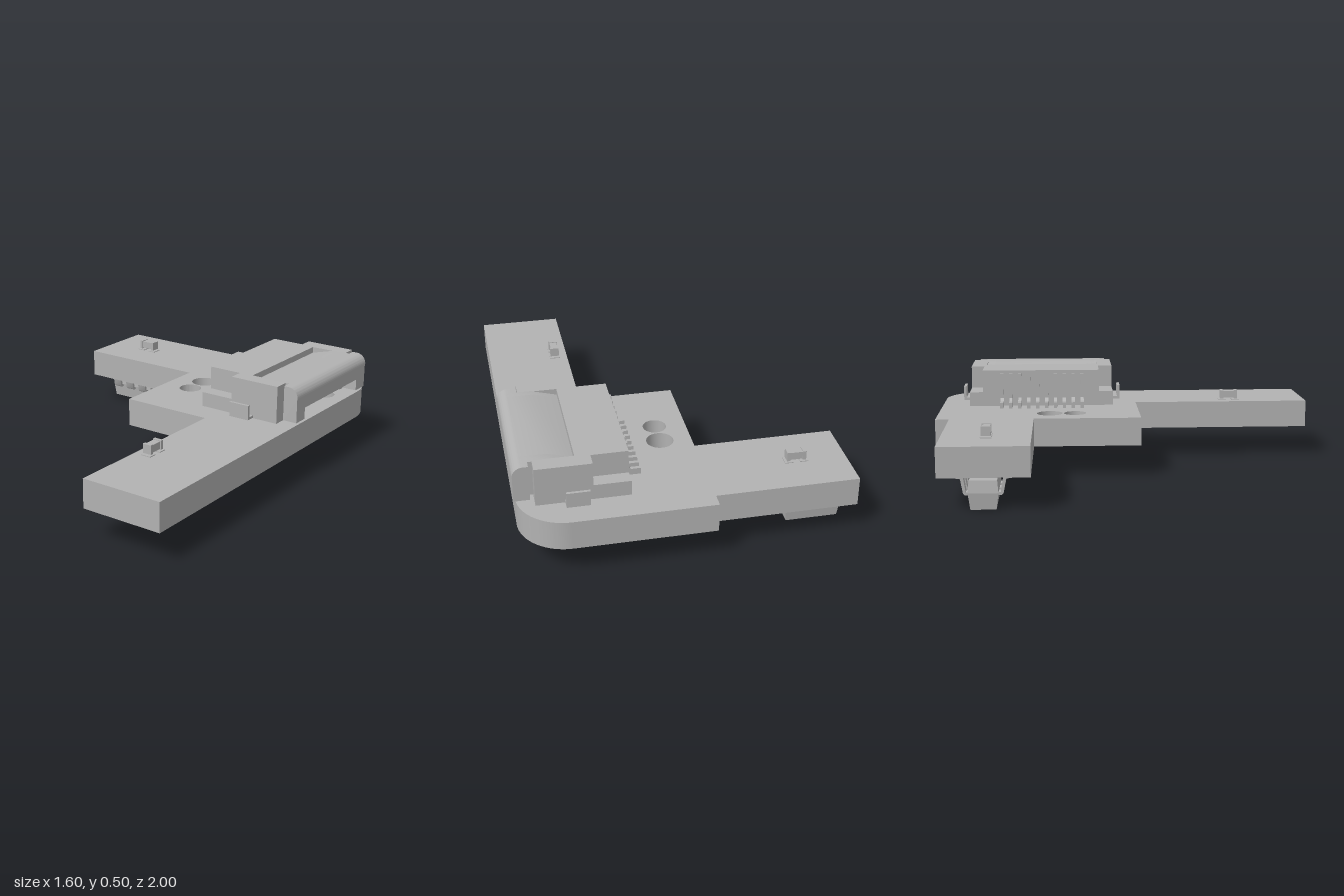
import * as THREE from 'three';
import { toCreasedNormals } from 'three/addons/utils/BufferGeometryUtils.js';

const grey = new THREE.MeshStandardMaterial({ color: 0xb2b2b2 });
grey.name = 'plain grey';

function add(parent, name, geometry) {
  const mesh = new THREE.Mesh(geometry, grey);
  mesh.name = name;
  parent.add(mesh);
  return mesh;
}

// Box given by its limits on each axis
function box(parent, name, x0, x1, y0, y1, z0, z1) {
  const g = new THREE.BoxGeometry(x1 - x0, y1 - y0, z1 - z0);
  return add(parent, name, g.translate((x0 + x1) / 2, (y0 + y1) / 2, (z0 + z1) / 2));
}

function extrude(shape, depth) {
  const g = new THREE.ExtrudeGeometry(shape, { depth, bevelEnabled: false, curveSegments: 20 });
  return toCreasedNormals(g, 0.6);
}

const polygon = (points) => new THREE.Shape(points.map(([x, y]) => new THREE.Vector2(x, y)));

// Side profile in x, y carried from z0 to z1
function slab(parent, name, shape, z0, z1) {
  return add(parent, name, extrude(shape, z1 - z0).translate(0, 0, z0));
}

// L-shaped board with one rounded corner and three drilled holes
function buildBoard(parent) {
  const s = new THREE.Shape();
  s.moveTo(-0.8, 0.5);
  s.lineTo(-0.11, 0.5);
  s.lineTo(-0.11, -0.05);
  s.lineTo(0.37, -0.05);
  s.lineTo(0.37, -1);
  s.lineTo(0.79, -1);
  s.lineTo(0.79, 0.77);
  s.absarc(0.56, 0.77, 0.23, 0, Math.PI / 2, false);
  s.lineTo(-0.11, 1);
  s.lineTo(-0.11, 0.93);
  s.lineTo(-0.8, 0.93);
  s.closePath();
  for (const [x, z, r] of [[0.045, -0.42, 0.067], [0.045, -0.287, 0.058], [0.663, -0.626, 0.06]]) {
    s.holes.push(new THREE.Path().absarc(x, -z, r, 0, Math.PI * 2, true));
  }
  add(parent, 'board', extrude(s, 0.145).rotateX(-Math.PI / 2).translate(0, 0.16, 0));
}

// Lever profile: sloped recess, flat top, rounded front edge
function leverProfile(bottom, middle) {
  const s = new THREE.Shape();
  s.moveTo(0.265, 0.31);
  if (middle) {
    // cable slot open to the front
    s.lineTo(0.7, 0.31);
    s.lineTo(0.7, 0.322);
    s.lineTo(0.4, 0.322);
    s.lineTo(0.4, 0.385);
    s.lineTo(0.8, 0.385);
  } else {
    s.lineTo(0.705, 0.31);
    s.lineTo(0.705, bottom);
    s.lineTo(0.8, bottom);
  }
  s.lineTo(0.8, 0.45);
  s.absarc(0.75, 0.45, 0.052, 0, Math.PI / 2, false);
  s.lineTo(0.63, 0.502);
  s.lineTo(0.512, 0.47);
  s.lineTo(0.512, 0.502);
  s.lineTo(0.265, 0.502);
  s.closePath();
  return s;
}

function buildConnector(parent) {
  const c = new THREE.Group();
  c.name = 'connector';
  parent.add(c);
  slab(c, 'slottedBody', leverProfile(0.325, true), -0.73, -0.19);
  slab(c, 'bodyEnd', leverProfile(0.325, false), -0.78, -0.73);
  slab(c, 'bodyEnd', leverProfile(0.325, false), -0.19, -0.155);

  // Stepped side walls
  const wall = polygon([[0.265, 0.31], [0.705, 0.31], [0.705, 0.502], [0.44, 0.502], [0.44, 0.385], [0.265, 0.385]]);
  slab(c, 'sideWall', wall, -0.85, -0.77);
  slab(c, 'sideWall', wall, -0.16, -0.08);

  // Lever ends, standing clear of the side walls
  const lip = new THREE.Shape();
  lip.moveTo(0.725, 0.325);
  lip.lineTo(0.8, 0.325);
  lip.lineTo(0.8, 0.45);
  lip.absarc(0.75, 0.45, 0.052, 0, Math.PI / 2, false);
  lip.lineTo(0.725, 0.502);
  lip.closePath();
  slab(c, 'leverEnd', lip, -0.82, -0.78);
  slab(c, 'leverEnd', lip, -0.155, -0.11);

  // Row of contact pins at the rear
  const pin = polygon([[0.19, 0.307], [0.266, 0.307], [0.266, 0.485], [0.254, 0.485], [0.254, 0.355], [0.24, 0.338], [0.19, 0.338]]);
  for (let i = 0; i < 10; i++) {
    const z = -0.677 + i * 0.0478;
    slab(c, 'pin', pin, z - 0.009, z + 0.009);
  }

  // Bent solder tabs on both sides
  for (const side of [-1, 1]) {
    const tab = new THREE.Group();
    tab.name = 'solderTab';
    tab.position.z = -0.465;
    c.add(tab);
    const span = (a, b) => (side > 0 ? [a, b] : [-b, -a]);
    box(tab, 'tabFoot', 0.46, 0.57, 0.312, 0.325, ...span(0.38, 0.432));
    box(tab, 'tabPlate', 0.46, 0.57, 0.312, 0.387, ...span(0.418, 0.432));
  }
}

// Small chip with raised end caps, lying along x
function buildChip(parent, name, x, y, z, turned) {
  const chip = new THREE.Group();
  chip.name = name;
  chip.position.set(x, y, z);
  if (turned) chip.rotation.y = Math.PI / 2;
  parent.add(chip);
  box(chip, 'chipBody', -0.035, 0.035, -0.019, 0.019, -0.019, 0.019);
  box(chip, 'endCap', -0.047, -0.03, -0.023, 0.023, -0.023, 0.023);
  box(chip, 'endCap', 0.03, 0.047, -0.023, 0.023, -0.023, 0.023);
}

// Six-legged package hanging under the short arm
function buildPackage(parent) {
  const p = new THREE.Group();
  p.name = 'legPackage';
  p.position.set(-0.632, 0, -0.72);
  parent.add(p);

  // Body widest at mid height
  const g = new THREE.BoxGeometry(0.256, 0.138, 0.13, 1, 2, 1);
  const pos = g.attributes.position;
  for (let i = 0; i < pos.count; i++) {
    const y = pos.getY(i);
    if (Math.abs(y) < 0.01) {
      pos.setXYZ(i, pos.getX(i) * 1.07, 0.01, pos.getZ(i) * 1.08);
    } else if (y < 0) {
      pos.setZ(i, pos.getZ(i) * 0.92);
    }
  }
  add(p, 'packageBody', toCreasedNormals(g, 0.05).translate(0, 0.07, 0));

  // Gull-wing legs
  const leg = polygon([[0.055, 0.066], [0.085, 0.066], [0.093, 0.076], [0.105, 0.143], [0.133, 0.147],
    [0.133, 0.159], [0.1, 0.157], [0.091, 0.147], [0.08, 0.08], [0.055, 0.08]]);
  for (const turn of [0, Math.PI]) {
    for (const x of [-0.091, 0, 0.091]) {
      const geo = extrude(leg, 0.05).rotateY(-Math.PI / 2).translate(x + 0.025, 0, 0);
      add(p, 'leg', geo).rotation.y = turn;
    }
  }
}

export function createModel() {
  const model = new THREE.Group();
  model.name = 'circuitBoard';
  buildBoard(model);
  buildConnector(model);
  buildChip(model, 'armChip', -0.553, 0.337, -0.713, false);
  buildChip(model, 'longArmChip', 0.437, 0.337, 0.575, true);
  buildChip(model, 'undersideChip', -0.118, 0.13, -0.797, true);
  buildPackage(model);

  // Thin solder pads under the chips
  for (const d of [-0.037, 0.037]) {
    box(model, 'solderPad', -0.573 + d, -0.533 + d, 0.304, 0.309, -0.74, -0.686);
    box(model, 'solderPad', 0.41, 0.464, 0.304, 0.309, 0.555 + d, 0.595 + d);
    box(model, 'solderPad', -0.145, -0.091, 0.156, 0.161, -0.817 + d, -0.777 + d);
  }
  return model;
}
